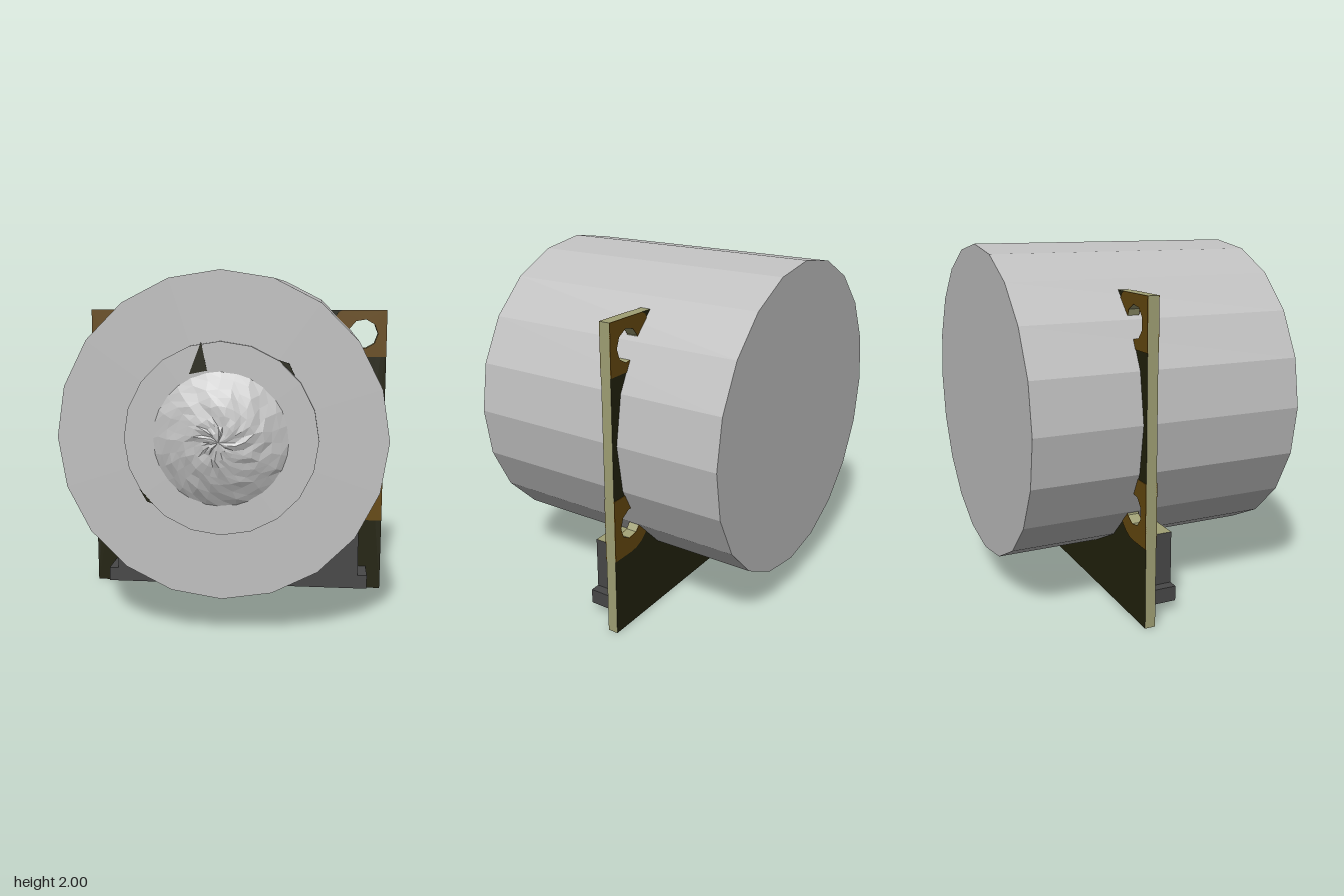
import * as THREE from 'three';

const mat = (name, color, extra = {}) => {
  const m = new THREE.MeshStandardMaterial({ color, ...extra });
  m.name = name;
  return m;
};

export function createModel() {
  const group = new THREE.Group();
  const silver = mat('silver', 0xc0c0c0, { flatShading: true });
  const boardDark = mat('boardDark', 0x22220d);
  const copper = mat('copper', 0x66490f);
  const edge = mat('boardEdge', 0x9f9f74);
  const plastic = mat('plastic', 0x484848);

  const add = (name, geometry, material, x = 0, y = 0, z = 0) => {
    const mesh = new THREE.Mesh(geometry, material);
    mesh.name = name;
    mesh.position.set(x, y, z);
    group.add(mesh);
    return mesh;
  };
  const points = (list) => list.map(([x, y]) => new THREE.Vector2(x, y));
  const circle = (cx, cy, r, n) => points(Array.from({ length: n }, (_, i) => {
    const a = (i / n) * Math.PI * 2;
    return [cx + r * Math.cos(a), cy + r * Math.sin(a)];
  }));
  const extrude = (outline, holes, depth) => {
    const shape = new THREE.Shape(outline);
    shape.holes = holes.map((h) => new THREE.Path(h));
    return new THREE.ExtrudeGeometry(shape, { depth, bevelEnabled: false });
  };

  // Faceted round housing with a shallow collar on its front
  const CY = 1.113;
  const drum = (name, r, z0, z1) => {
    const g = new THREE.CylinderGeometry(r, r, z1 - z0, 20);
    g.rotateX(Math.PI / 2);
    add(name, g, silver, 0, CY, (z0 + z1) / 2);
  };
  drum('housing', 0.887, -0.84, 0.717);
  drum('collar', 0.52, 0.71, 0.735);

  // Dark slits on the collar
  const slits = [
    [[-0.1, 1.63], [-0.165, 1.46], [-0.07, 1.48]],
    [[0.3, 1.54], [0.36, 1.52], [0.39, 1.455]],
    [[-0.44, 0.84], [-0.37, 0.76], [-0.4, 0.77]],
  ];
  for (const s of slits) add('collarSlit', extrude(points(s), [], 0.003), boardDark, 0, 0, 0.734);

  // Crinkled lens: a spherical cap with small seeded dents
  let seed = 7;
  const rand = () => (seed = (seed * 16807) % 2147483647) / 2147483647 - 0.5;
  const RINGS = 8, SIDES = 28, LENS = 0.37;
  const rows = [];
  for (let i = 0; i <= RINGS; i++) {
    const row = [];
    for (let j = 0; j < SIDES; j++) {
      const inner = i > 0 && i < RINGS;
      const t = i / RINGS;
      const r = LENS * (t + (inner ? rand() * 0.04 : 0));
      const a = ((j + (inner ? rand() * 0.4 : 0)) / SIDES) * Math.PI * 2;
      const z = 0.73 + 0.106 * (1 - t * t) + (inner ? rand() * 0.012 : 0);
      row.push([r * Math.cos(a), 1.115 + r * Math.sin(a), z]);
    }
    rows.push(row);
  }
  const lensPos = [];
  for (let i = 0; i < RINGS; i++) {
    for (let j = 0; j < SIDES; j++) {
      const k = (j + 1) % SIDES;
      const a = rows[i][j], b = rows[i + 1][j], c = rows[i + 1][k], d = rows[i][k];
      lensPos.push(...a, ...b, ...c);
      if (i > 0) lensPos.push(...a, ...c, ...d);
    }
  }
  const lensGeo = new THREE.BufferGeometry();
  lensGeo.setAttribute('position', new THREE.Float32BufferAttribute(lensPos, 3));
  lensGeo.computeVertexNormals();
  add('lens', lensGeo, silver);

  // Circuit board with four mounting holes
  const W = 0.923, H = 1.775, Z0 = -0.24, Z1 = -0.18, HX = 0.78;
  const holes = [];
  for (const s of [-1, 1]) for (const y of [0.63, 1.63]) holes.push(circle(s * HX, y, 0.09, 9));
  const outline = points([[-W, 0], [W, 0], [W, H], [-W, H]]);
  add('circuitBoard', extrude(outline, holes, Z1 - Z0), [boardDark, edge], 0, 0, Z0);

  // Copper pads around the holes, on both faces
  for (const s of [-1, 1]) {
    for (const [holeY, padY] of [[0.63, 0.63], [1.63, 1.67]]) {
      const pts = [];
      for (let i = 0; i <= 12; i++) {
        const a = Math.PI / 2 + (i / 12) * Math.PI;
        pts.push([s * (HX + 0.18 * Math.cos(a)), Math.min(H, padY + 0.18 * Math.sin(a))]);
      }
      pts.push([s * W, padY - 0.18], [s * W, Math.min(H, padY + 0.18)]);
      // Drop repeated points where the pad meets the board's top edge
      const clean = pts.filter((p, i) => i === 0 || Math.hypot(p[0] - pts[i - 1][0], p[1] - pts[i - 1][1]) > 1e-4);
      const pad = extrude(points(clean), [circle(s * HX, holeY, 0.09, 9)], 0.004);
      add('copperPadFront', pad, copper, 0, 0, Z1 - 0.001);
      add('copperPadBack', pad, copper, 0, 0, Z0 - 0.003);
    }
  }

  // Stepped connector, with pale top and bottom faces on the main block
  const capped = [plastic, plastic, edge, edge, plastic, plastic];
  add('connectorBody', new THREE.BoxGeometry(1.515, 0.385, 0.19), capped, 0.015, 0.2525, -0.085);
  for (const [x0, x1] of [[-0.8, -0.7425], [0.7725, 0.83]]) {
    add('connectorFoot', new THREE.BoxGeometry(x1 - x0, 0.085, 0.19), plastic, (x0 + x1) / 2, 0.1025, -0.085);
  }
  return group;
}
